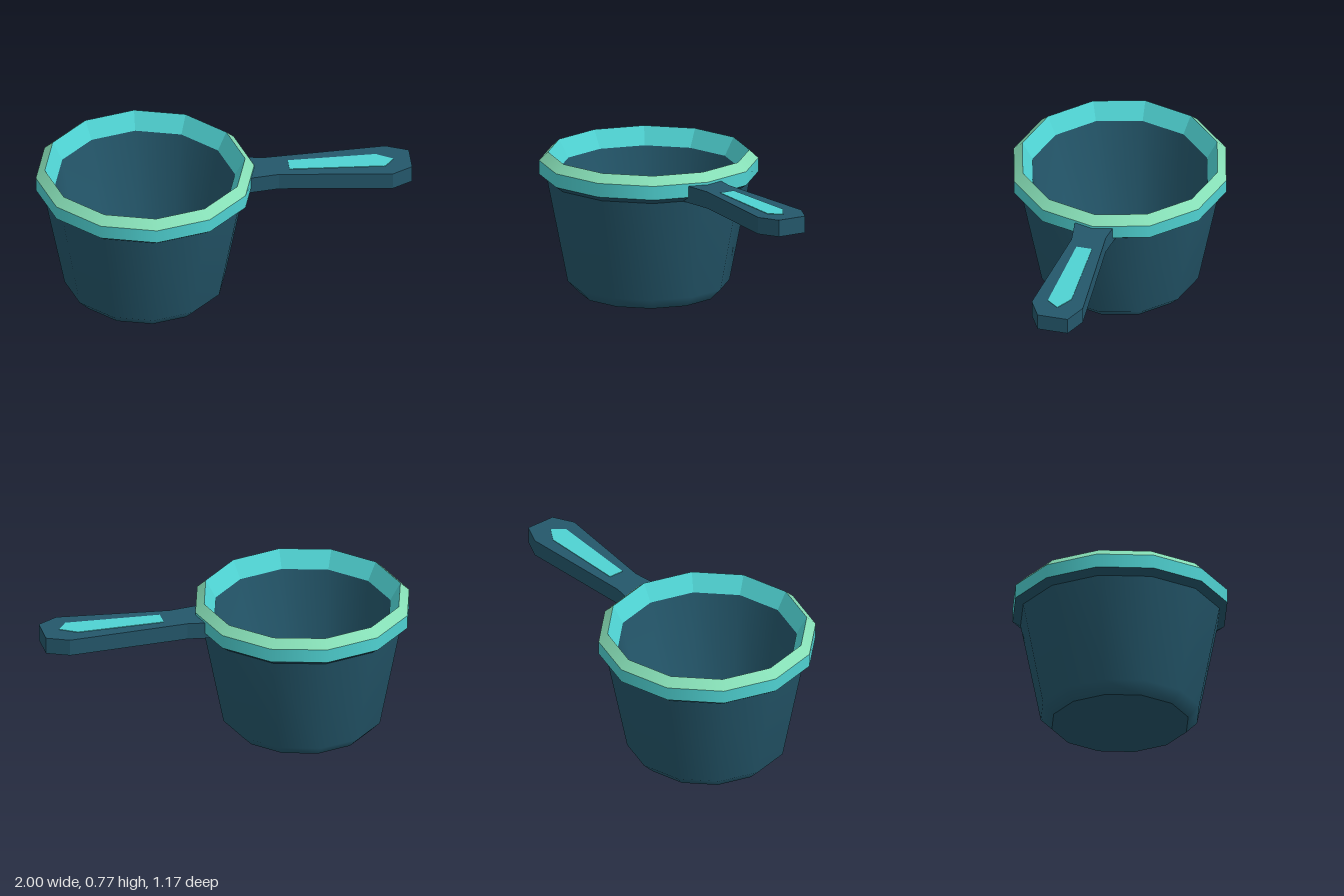
import * as THREE from 'three';

export function createModel() {
  const mat = (name, color) => {
    const m = new THREE.MeshStandardMaterial({ color });
    m.name = name;
    return m;
  };
  const dark = mat('dark blue', 0x24576b);
  const teal = mat('teal', 0x4fd2d2);
  const green = mat('mint green', 0x86deb6);

  const group = new THREE.Group();
  const add = (name, geometry, material, parent = group) => {
    const mesh = new THREE.Mesh(geometry, material);
    mesh.name = name;
    parent.add(mesh);
    return mesh;
  };

  // Twelve-sided cup: bands run up the outside, over the rim and down the inside
  const cup = new THREE.Group();
  cup.name = 'cup';
  cup.position.x = -0.417;
  group.add(cup);

  const band = (name, material, profile, flat = false) => {
    let g = new THREE.LatheGeometry(profile.map(([r, y]) => new THREE.Vector2(r, y)), 12);
    if (flat) {
      g = g.toNonIndexed();
      g.computeVertexNormals();
    }
    add(name, g, material, cup);
  };
  band('base', dark, [[0, 0], [0.37, 0]], true);
  band('outerWall', dark, [[0.37, 0], [0.43, 0.06], [0.54, 0.62]]);
  band('rimUnderside', dark, [[0.54, 0.62], [0.583, 0.65]]);
  band('rimSide', teal, [[0.583, 0.65], [0.583, 0.725]]);
  band('rimBevel', green, [[0.583, 0.725], [0.535, 0.77]]);
  band('rimInside', teal, [[0.535, 0.77], [0.48, 0.675]], true);
  band('innerWall', dark, [[0.48, 0.675], [0.38, 0.11], [0.325, 0.06]]);
  band('floor', dark, [[0.325, 0.06], [0, 0.06]], true);

  // Flat outline in x, z raised into a slab with its bottom at the given height
  const slab = (name, material, outline, bottom, height) => {
    const shape = new THREE.Shape(outline.map(([x, z]) => new THREE.Vector2(x, -z)));
    const g = new THREE.ExtrudeGeometry(shape, { depth: height, bevelEnabled: false });
    g.rotateX(-Math.PI / 2);
    add(name, g, material).position.y = bottom;
  };

  // Handle, waisted near the rim and widening to a chamfered end
  slab('handle', dark, [
    [0.09, 0.11], [0.29, 0.083], [0.89, 0.145], [1, 0.085],
    [1, -0.08], [0.88, -0.133], [0.23, -0.09], [0.09, -0.11],
  ], 0.62, 0.091);

  // Inlay on top of the handle
  slab('handleInlay', teal, [
    [0.35, 0.04], [0.86, 0.065], [0.91, 0], [0.82, -0.055], [0.35, -0.045],
  ], 0.709, 0.005);

  return group;
}
